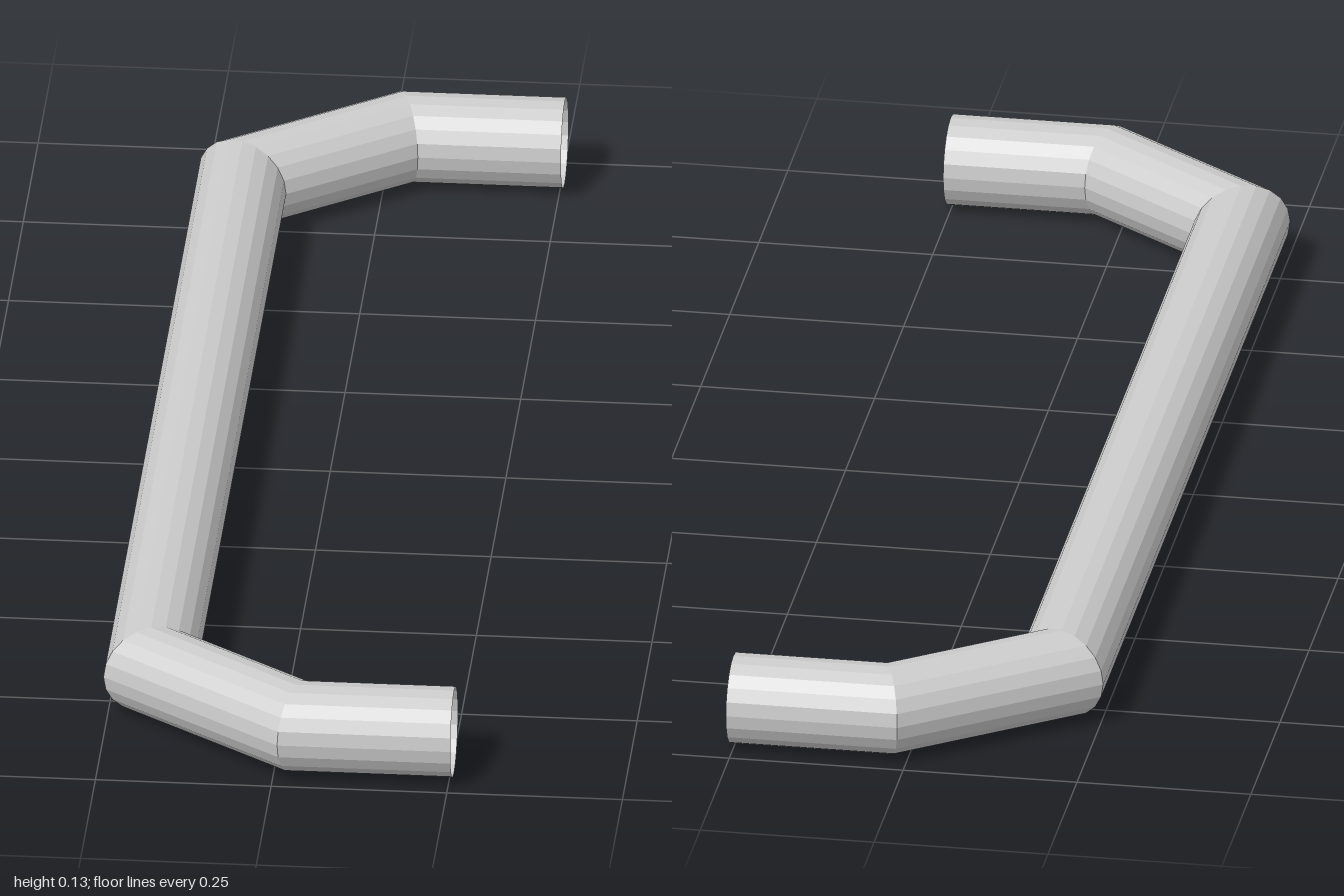
import * as THREE from 'three';

const RADIUS = 0.065;
const SIDES = 20;

// Open tube swept along a flat [x, z] path, with mitred joints at the bends
function mitredTube(path) {
  const points = path.map(([x, z]) => new THREE.Vector3(x, RADIUS, z));
  const up = new THREE.Vector3(0, 1, 0);

  // Sideways direction of each straight run
  const sides = points.slice(1).map((p, i) =>
    up.clone().cross(p.clone().sub(points[i]).normalize()));

  const positions = [];
  const indices = [];
  points.forEach((p, i) => {
    const a = sides[Math.max(i - 1, 0)];
    const b = sides[Math.min(i, sides.length - 1)];
    const mitre = a.clone().add(b).divideScalar(1 + a.dot(b));
    for (let j = 0; j < SIDES; j++) {
      const t = (j / SIDES) * Math.PI * 2;
      const v = p.clone()
        .addScaledVector(mitre, RADIUS * Math.cos(t))
        .addScaledVector(up, RADIUS * Math.sin(t));
      positions.push(v.x, v.y, v.z);
      if (i < points.length - 1) {
        const k = (j + 1) % SIDES;
        const r0 = i * SIDES;
        const r1 = r0 + SIDES;
        indices.push(r0 + j, r0 + k, r1 + j, r0 + k, r1 + k, r1 + j);
      }
    }
  });

  const geometry = new THREE.BufferGeometry();
  geometry.setAttribute('position', new THREE.Float32BufferAttribute(positions, 3));
  geometry.setIndex(indices);
  geometry.computeVertexNormals();
  return geometry;
}

export function createModel() {
  const group = new THREE.Group();
  group.name = 'pullHandle';

  // Half of the centre line: open end, upper bend, grip corner; then mirrored
  const half = [[0.255, 0.935], [0.03, 0.935], [-0.19, 0.772]];
  const path = [...half, ...half.map(([x, z]) => [x, -z]).reverse()];

  const material = new THREE.MeshStandardMaterial({
    color: 0xcccccc, flatShading: true, side: THREE.DoubleSide,
  });
  const tube = new THREE.Mesh(mitredTube(path), material);
  tube.name = 'bentTube';
  group.add(tube);
  return group;
}
